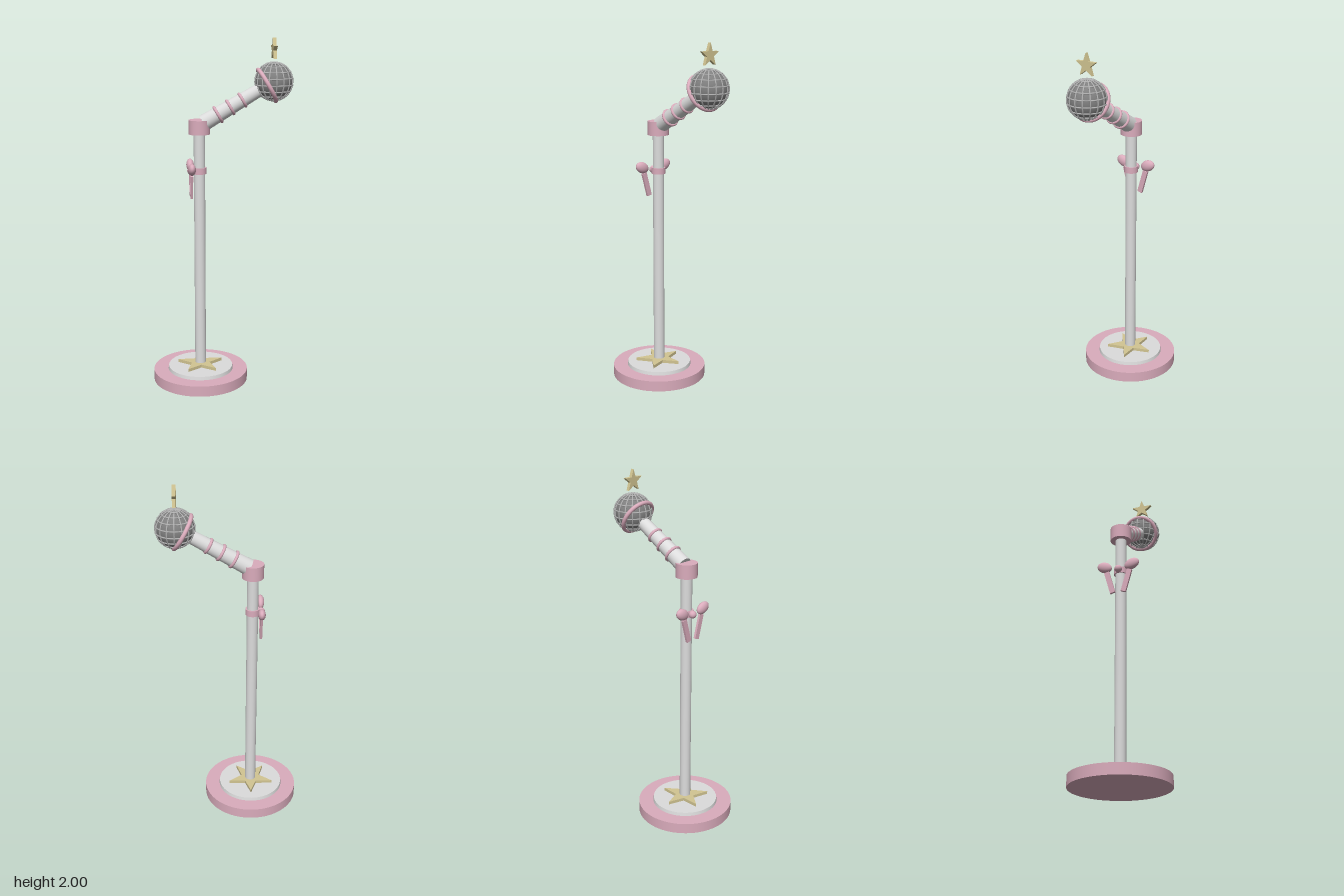
import * as THREE from 'three';

const material = (name, color) => {
  const m = new THREE.MeshStandardMaterial({ color });
  m.name = name;
  return m;
};

export function createModel() {
  const pink = material('pink', 0xdaacbc);
  const silver = material('silver', 0xdcdcdc);
  const gold = material('gold', 0xd2c592);
  const wire = material('wire grey', 0xb4b4b4);
  const mesh = material('grille grey', 0x808080);

  const model = new THREE.Group();
  model.name = 'microphoneStand';

  const add = (parent, name, geometry, mat, x = 0, y = 0, z = 0) => {
    const m = new THREE.Mesh(geometry, mat);
    m.name = name;
    m.position.set(x, y, z);
    parent.add(m);
    return m;
  };
  const cylinder = (r, h, top = r) => new THREE.CylinderGeometry(top, r, h, 48);

  // Five-pointed star, centred on its thickness
  const star = (radius, depth) => {
    const points = [];
    for (let i = 0; i < 10; i++) {
      const a = Math.PI / 2 + i * Math.PI / 5;
      const r = i % 2 ? radius * 0.4 : radius;
      points.push(new THREE.Vector2(r * Math.cos(a), r * Math.sin(a)));
    }
    const g = new THREE.ExtrudeGeometry(new THREE.Shape(points), { depth, bevelEnabled: false });
    return g.translate(0, 0, -depth / 2);
  };

  // Stand: base, plate, star inlay, pole and top collar
  const stand = new THREE.Group();
  stand.name = 'stand';
  stand.position.x = -0.13;
  model.add(stand);
  add(stand, 'base', new THREE.CylinderGeometry(0.277, 0.277, 0.062, 64), pink, 0, 0.031);
  add(stand, 'basePlate', cylinder(0.192, 0.02, 0.189), silver, 0, 0.072);
  add(stand, 'baseStar', star(0.138, 0.018), gold, 0, 0.091).rotation.x = -Math.PI / 2;
  add(stand, 'pole', cylinder(0.032, 1.42), silver, 0, 0.79);
  add(stand, 'topCollar', cylinder(0.061, 0.08), pink, 0, 1.508);

  // Bow tied round the pole on the right-hand side
  const bow = new THREE.Group();
  bow.name = 'bow';
  bow.position.set(-0.048, 1.26, 0);
  stand.add(bow);
  add(bow, 'bowBand', cylinder(0.04, 0.036), pink, 0.048, 0, 0);
  add(bow, 'bowKnot', new THREE.SphereGeometry(0.022, 24, 16), pink);
  for (const s of [-1, 1]) {
    const loop = add(bow, 'bowLoop', new THREE.SphereGeometry(1, 32, 20), pink, 0, 0.019, s * 0.082);
    loop.scale.set(0.022, 0.032, 0.045);
    loop.rotation.x = -s * 0.4;
    const tail = add(bow, 'bowTail', new THREE.BoxGeometry(0.014, 0.14, 0.03), pink, 0, -0.083, s * 0.05);
    tail.rotation.x = s * 0.27;
  }

  // Handle leaning up towards the head; local +y runs along it
  const handle = new THREE.Group();
  handle.name = 'handle';
  handle.position.set(-0.107, 1.529, 0);
  handle.rotation.z = -Math.PI / 3;
  model.add(handle);
  add(handle, 'handleBody', cylinder(0.047, 0.4, 0.036), silver, 0, 0.2);
  [0.095, 0.175, 0.254].forEach((d, i) => {
    const ring = add(handle, 'handleRing', new THREE.TorusGeometry(0.045 - i * 0.003, 0.0085, 12, 40), pink, 0, d);
    ring.rotation.x = Math.PI / 2;
  });
  const headRing = add(handle, 'headRing', new THREE.TorusGeometry(0.1, 0.012, 12, 56), pink, 0, 0.414);
  headRing.rotation.x = Math.PI / 2;

  // Head: solid core wrapped in a cage of wires
  const head = new THREE.Group();
  head.name = 'head';
  head.position.set(0.29, 1.758, 0);
  model.add(head);
  add(head, 'grilleCore', new THREE.SphereGeometry(0.104, 32, 24), mesh);
  const R = 0.107, t = 0.004;
  for (let i = 0; i < 8; i++) {
    add(head, 'meridianWire', new THREE.TorusGeometry(R, t, 6, 32), wire).rotation.y = i * Math.PI / 8;
  }
  for (let i = 1; i < 9; i++) {
    const a = i * Math.PI / 9;
    const lat = add(head, 'latitudeWire', new THREE.TorusGeometry(R * Math.sin(a), t, 6, 32), wire, 0, R * Math.cos(a));
    lat.rotation.x = Math.PI / 2;
  }

  // Star floating above the head, facing sideways
  add(model, 'topStar', star(0.064, 0.02), gold, 0.29, 1.936).rotation.y = Math.PI / 2;

  return model;
}
